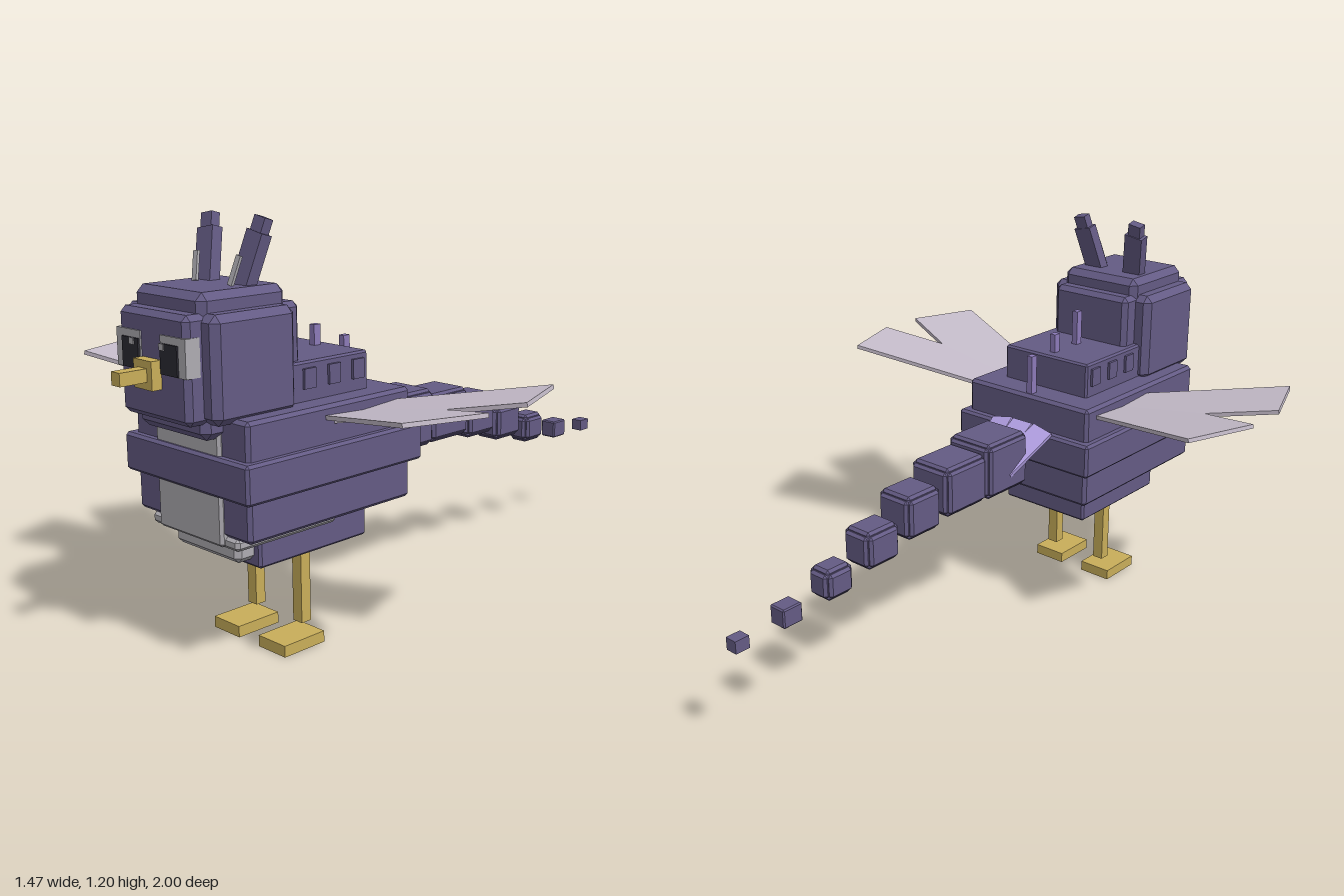
import * as THREE from 'three';
import { ConvexGeometry } from 'three/addons/geometries/ConvexGeometry.js';

const paint = (name, color) => new THREE.MeshStandardMaterial({ name, color });

export function createModel() {
  const purple = paint('dusky purple', 0x645b84);
  const grey = paint('belly grey', 0xaeacb2);
  const wingTone = paint('pale wing', 0xc4bbc9);
  const gold = paint('gold', 0xc9ae5a);
  const black = paint('pupil black', 0x2c2b34);
  const lilac = paint('lilac', 0xb19fe2);
  const spineTone = paint('spine violet', 0x8c7ab8);

  const model = new THREE.Group();

  const add = (parent, name, geometry, material) => {
    const mesh = new THREE.Mesh(geometry, material);
    mesh.name = name;
    parent.add(mesh);
    return mesh;
  };

  // Box given by its lower and upper limits on each axis
  const block = (parent, name, mat, [x0, x1], [y0, y1], [z0, z1]) => {
    const mesh = add(parent, name, new THREE.BoxGeometry(x1 - x0, y1 - y0, z1 - z0), mat);
    mesh.position.set((x0 + x1) / 2, (y0 + y1) / 2, (z0 + z1) / 2);
    return mesh;
  };

  // Box centred on x = 0 with every edge chamfered by b
  const chamfered = (parent, name, mat, hx, [y0, y1], [z0, z1], b) => {
    const hy = (y1 - y0) / 2, hz = (z1 - z0) / 2, points = [];
    for (const sx of [-1, 1]) for (const sy of [-1, 1]) for (const sz of [-1, 1]) {
      for (const [cx, cy, cz] of [[0, b, b], [b, 0, b], [b, b, 0]]) {
        points.push(new THREE.Vector3(sx * (hx - cx), sy * (hy - cy), sz * (hz - cz)));
      }
    }
    const mesh = add(parent, name, new ConvexGeometry(points), mat);
    mesh.position.set(0, (y0 + y1) / 2, (z0 + z1) / 2);
    return mesh;
  };

  // Three crossing boxes that read as a stepped, rounded block
  const stepped = (parent, name, hx, [y0, y1], [z0, z1], s, b) => {
    const group = new THREE.Group();
    group.name = name;
    parent.add(group);
    chamfered(group, name + 'Sides', purple, hx, [y0 + s, y1 - s], [z0 + s, z1 - s], b);
    chamfered(group, name + 'TopAndBottom', purple, hx - s, [y0, y1], [z0 + s, z1 - s], b);
    chamfered(group, name + 'Ends', purple, hx - s, [y0 + s, y1 - s], [z0, z1], b);
    return group;
  };

  // Body tiers
  chamfered(model, 'lowerBody', purple, 0.16, [0.28, 0.4], [0.295, 0.69], 0.007);
  chamfered(model, 'mainBody', purple, 0.237, [0.388, 0.708], [0.195, 0.785], 0.01);
  chamfered(model, 'bodyBand', purple, 0.26, [0.498, 0.605], [0.168, 0.808], 0.008);
  chamfered(model, 'backHump', purple, 0.163, [0.69, 0.816], [0.288, 0.68], 0.006);

  // Small bumps along the hump sides
  for (const z of [0.33, 0.42, 0.51]) for (const s of [-1, 1]) {
    const bump = add(model, 'humpBump', new THREE.BoxGeometry(0.016, 0.055, 0.042), purple);
    bump.position.set(s * 0.163, 0.77, z);
  }

  // Belly and throat
  chamfered(model, 'bellyPlate', grey, 0.135, [0.36, 0.68], [0.45, 0.795], 0.008);
  chamfered(model, 'bellyLedge', grey, 0.183, [0.355, 0.39], [0.43, 0.783], 0.01);
  chamfered(model, 'bellyBottom', grey, 0.135, [0.3, 0.37], [0.6, 0.745], 0.015);

  // Head
  const head = new THREE.Group();
  head.name = 'head';
  model.add(head);
  chamfered(head, 'headSides', purple, 0.192, [0.695, 0.975], [0.57, 0.842], 0.02);
  chamfered(head, 'headCore', purple, 0.142, [0.65, 1.025], [0.56, 0.842], 0.02);
  chamfered(head, 'headFrontAndBack', purple, 0.142, [0.695, 0.975], [0.515, 0.89], 0.015);

  // Beak
  block(head, 'beakBase', gold, [-0.038, 0.038], [0.78, 0.855], [0.86, 0.92]);
  block(head, 'beakTip', gold, [-0.018, 0.018], [0.8, 0.835], [0.91, 1.0]);

  for (const s of [-1, 1]) {
    const span = (a, b) => (s > 0 ? [a, b] : [-b, -a]);

    // Eyes
    block(head, 'eyeWhite', grey, span(0.042, 0.144), [0.82, 0.92], [0.85, 0.894]);
    block(head, 'pupil', black, span(0.046, 0.115), [0.822, 0.9], [0.892, 0.899]);
    block(head, 'eyeGlint', grey, s > 0 ? [0.046, 0.064] : [-0.08, -0.062],
      [0.883, 0.9], [0.897, 0.902]);

    // Ears lean outward and back
    const ear = new THREE.Group();
    ear.name = 'ear';
    ear.position.set(s * 0.072, 1.01, 0.655);
    ear.rotation.set(-0.26, 0, -s * 0.19);
    head.add(ear);
    block(ear, 'earBase', purple, [-0.032, 0.032], [0, 0.155], [-0.017, 0.017]);
    block(ear, 'earTip', purple, [-0.022, 0.022], [0.15, 0.195], [-0.014, 0.014]);
    block(ear, 'innerEar', grey, [-0.009, 0.009], [0.005, 0.085], [0.036, 0.044]);

    // Wings: two splayed blades with a slight upward tilt
    for (const f of [-1, 1]) {
      const geometry = new THREE.BoxGeometry(0.54, 0.012, 0.23);
      geometry.translate(0.27, 0, 0).rotateZ(0.175).rotateY(-f * 0.35);
      if (s < 0) geometry.rotateY(Math.PI);
      add(model, 'wingBlade', geometry, wingTone).position.set(s * 0.195, 0.66, 0.382);
    }

    // Legs and feet
    block(model, 'leg', gold, span(0.08, 0.116), [0.06, 0.285], [0.474, 0.508]);
    block(model, 'foot', gold, span(0.043, 0.153), [0, 0.033], [0.458, 0.605]);
  }

  // Spines along the back: z, bottom, top
  for (const [z, y0, y1] of [[0.45, 0.81, 0.925], [0.335, 0.81, 0.875], [0.22, 0.7, 0.83]]) {
    block(model, 'backSpine', spineTone, [-0.01, 0.01], [y0, y1], [z - 0.012, z + 0.012]);
  }

  // Ruff of petals where the tail meets the body
  for (const s of [-1, 0, 1]) {
    const petal = add(model, 'tailRuffPetal', new THREE.BoxGeometry(0.075, 0.012, 0.19), lilac);
    petal.position.set(s * 0.066, 0.572 - Math.abs(s) * 0.005, 0.098);
    petal.rotation.set(-0.54, s * 0.16, -s * 0.12);
  }

  // Tail segments: half width, y range, z range
  const tail = new THREE.Group();
  tail.name = 'tail';
  model.add(tail);
  [
    [0.086, [0.458, 0.635], [-0.085, 0.106]],
    [0.078, [0.458, 0.612], [-0.258, -0.075]],
    [0.066, [0.435, 0.57], [-0.408, -0.265]],
    [0.055, [0.395, 0.51], [-0.558, -0.425]],
    [0.044, [0.353, 0.447], [-0.702, -0.597]],
  ].forEach(([hx, y, z]) => stepped(tail, 'tailSegment', hx, y, z, 0.011, 0.008));
  chamfered(tail, 'tailSegment', purple, 0.028, [0.335, 0.392], [-0.846, -0.78], 0.004);
  block(tail, 'tailTip', purple, [-0.019, 0.019], [0.328, 0.365], [-1.0, -0.955]);

  return model;
}
